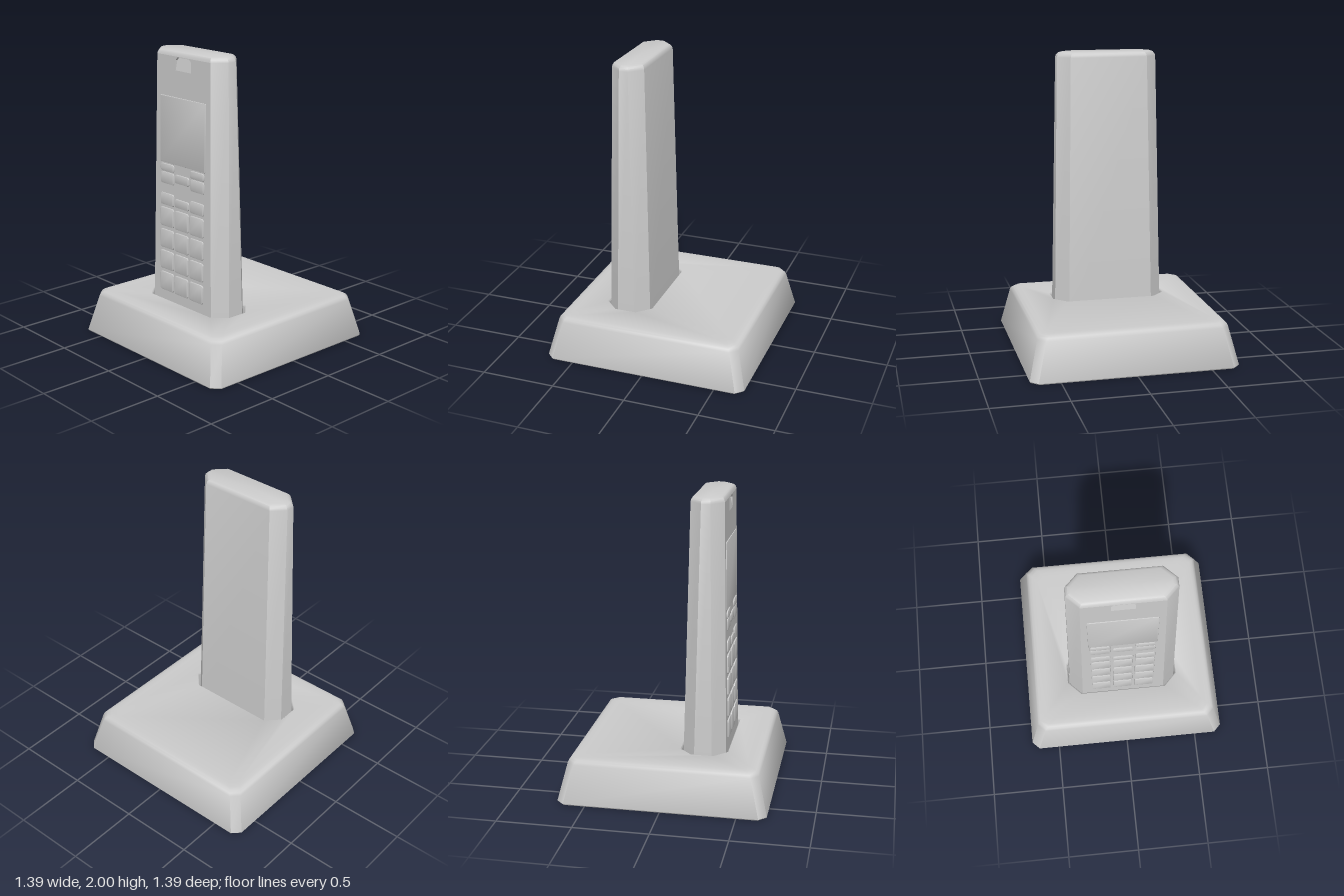
import * as THREE from 'three';
import { toCreasedNormals } from 'three/addons/utils/BufferGeometryUtils.js';

const material = new THREE.MeshStandardMaterial({ color: 0xcccccc });
const thinMaterial = new THREE.MeshStandardMaterial({ color: 0xcccccc, side: THREE.DoubleSide });

// Front plane of the handset, leaning back slightly
const FACE = { y0: 0.09, y1: 1.965, z0: 0.379, z1: 0.345 };
const frontZ = (y) => THREE.MathUtils.mapLinear(y, FACE.y0, FACE.y1, FACE.z0, FACE.z1);
const TILT = Math.atan((FACE.z1 - FACE.z0) / (FACE.y1 - FACE.y0));

// Rectangle with cut corners at height y, counter-clockwise from above
function ring(y, hx, zBack, zFront, c) {
  return [
    [hx - c, zFront], [hx, zFront - c], [hx, zBack + c], [hx - c, zBack],
    [c - hx, zBack], [-hx, zBack + c], [-hx, zFront - c], [c - hx, zFront],
  ].map(([x, z]) => new THREE.Vector3(x, y, z));
}

// Skin rings in order and close both ends; skip(row, side) leaves a panel open
function loft(rings, crease, skip = () => false) {
  const pts = [];
  const n = rings[0].length;
  const middle = (r) => r.reduce((s, p) => s.add(p), new THREE.Vector3()).divideScalar(n);
  const first = rings[0], last = rings[rings.length - 1];
  const m0 = middle(first), m1 = middle(last);
  for (let i = 0; i < n; i++) {
    const j = (i + 1) % n;
    for (let k = 0; k < rings.length - 1; k++) {
      if (skip(k, i)) continue;
      const a = rings[k], b = rings[k + 1];
      pts.push(a[i], a[j], b[j], a[i], b[j], b[i]);
    }
    pts.push(first[j], first[i], m0, last[i], last[j], m1);
  }
  return toCreasedNormals(new THREE.BufferGeometry().setFromPoints(pts), crease);
}

function add(parent, name, geometry, mat = material) {
  const mesh = new THREE.Mesh(geometry, mat);
  mesh.name = name;
  parent.add(mesh);
  return mesh;
}

// Rounded, bevelled pad lying on the front plane
function pad(parent, name, x0, x1, y0, y1, height, r = 0.012) {
  const b = 0.004;
  const w = (x1 - x0) / 2 - b, h = (y1 - y0) / 2 - b;
  const s = new THREE.Shape();
  s.absarc(w - r, h - r, r, 0, Math.PI / 2);
  s.absarc(r - w, h - r, r, Math.PI / 2, Math.PI);
  s.absarc(r - w, r - h, r, Math.PI, Math.PI * 1.5);
  s.absarc(w - r, r - h, r, Math.PI * 1.5, Math.PI * 2);
  const g = new THREE.ExtrudeGeometry(s, {
    depth: 0.01, bevelThickness: b, bevelSize: b, bevelSegments: 2, curveSegments: 3,
  });
  g.translate(0, 0, height - 0.01 - b);
  const mesh = add(parent, name, toCreasedNormals(g, 0.6));
  const y = (y0 + y1) / 2;
  mesh.position.set((x0 + x1) / 2, y, frontZ(y));
  mesh.rotation.x = TILT;
}

// Flat shape draped on the front plane, sunk by depth(y)
function drape(shape, depth = () => 0) {
  const g = new THREE.ShapeGeometry(shape);
  const p = g.attributes.position;
  for (let i = 0; i < p.count; i++) p.setZ(i, frontZ(p.getY(i)) - depth(p.getY(i)));
  g.computeVertexNormals();
  return g;
}

function createCradle() {
  const square = (y, h, c) => ring(y, h, -h, h, c);
  const socket = (y, grow) => ring(y, 0.38 + grow, 0.082 - grow, 0.379 + grow, 0.088);
  // Outside, over the rounded rim, across the top and down into the socket
  return loft([
    square(0, 0.69, 0.05), square(0.008, 0.695, 0.05), square(0.262, 0.634, 0.05),
    square(0.28, 0.626, 0.05), square(0.291, 0.612, 0.048), square(0.296, 0.592, 0.045),
    square(0.296, 0.56, 0.045),
    socket(0.296, 0.013), socket(0.288, 0.007), socket(0.08, 0.004),
  ], 0.9);
}

function createHandset() {
  const handset = new THREE.Group();
  handset.name = 'handset';

  // Tapered body; its front panel is added separately
  const rings = [
    ring(FACE.y0, 0.38, 0.085, FACE.z0, 0.085),
    ring(FACE.y1, 0.342, 0.125, FACE.z1, 0.08),
    ring(1.98, 0.336, 0.129, 0.341, 0.077),
    ring(1.993, 0.325, 0.137, 0.333, 0.073),
    ring(2, 0.305, 0.15, 0.32, 0.066),
  ];
  add(handset, 'body', loft(rings, 0.6, (row, side) => row === 0 && side === 7));

  // Front panel with an arched opening for the earpiece
  const arch = [[-0.075, 1.875], [0.075, 1.875], [0.075, 1.942], [0.058, 1.961],
    [-0.058, 1.961], [-0.075, 1.942]].map(([x, y]) => new THREE.Vector2(x, y));
  const panel = new THREE.Shape([[-0.295, FACE.y0], [0.295, FACE.y0], [0.262, FACE.y1],
    [-0.262, FACE.y1]].map(([x, y]) => new THREE.Vector2(x, y)));
  panel.holes.push(new THREE.Path(arch));
  add(handset, 'frontPanel', drape(panel));

  // Earpiece hollow: flush below, deepest at the arch
  const depth = (y) => (y - 1.875) * 0.22;
  add(handset, 'earpieceFloor', drape(new THREE.Shape(arch), depth));
  const wall = [];
  const at = (v, d) => new THREE.Vector3(v.x, v.y, frontZ(v.y) - d);
  for (let i = 1; i < arch.length; i++) {
    const p = arch[i], q = arch[(i + 1) % arch.length];
    wall.push(at(p, 0), at(q, 0), at(q, depth(q.y)), at(p, 0), at(q, depth(q.y)), at(p, depth(p.y)));
  }
  const wallGeometry = new THREE.BufferGeometry().setFromPoints(wall);
  wallGeometry.computeVertexNormals();
  add(handset, 'earpieceWall', wallGeometry, thinMaterial);

  pad(handset, 'screen', -0.228, 0.224, 1.25, 1.7, 0.005, 0.004);

  // Number keys
  const columns = [[-0.22, -0.085], [-0.07, 0.065], [0.08, 0.215]];
  const rows = [[0.355, 0.485], [0.508, 0.637], [0.658, 0.787], [0.81, 0.94]];
  for (const [y0, y1] of rows) {
    for (const [x0, x1] of columns) pad(handset, 'numberKey', x0, x1, y0, y1, 0.009);
  }

  // Keys beside and in the navigation cluster
  for (const [x0, x1] of [columns[0], columns[2]]) {
    pad(handset, 'softKey', x0, x1, 1.19, 1.242, 0.008);
    pad(handset, 'menuKey', x0, x1, 1.105, 1.184, 0.006);
    pad(handset, 'callKey', x0, x1, 0.958, 1.04, 0.008);
  }
  pad(handset, 'upKey', -0.072, 0.068, 1.128, 1.187, 0.009);
  pad(handset, 'downKey', -0.072, 0.068, 0.962, 1.02, 0.009);
  return handset;
}

export function createModel() {
  const model = new THREE.Group();
  model.name = 'cordlessPhone';
  add(model, 'chargingCradle', createCradle());
  model.add(createHandset());
  return model;
}
